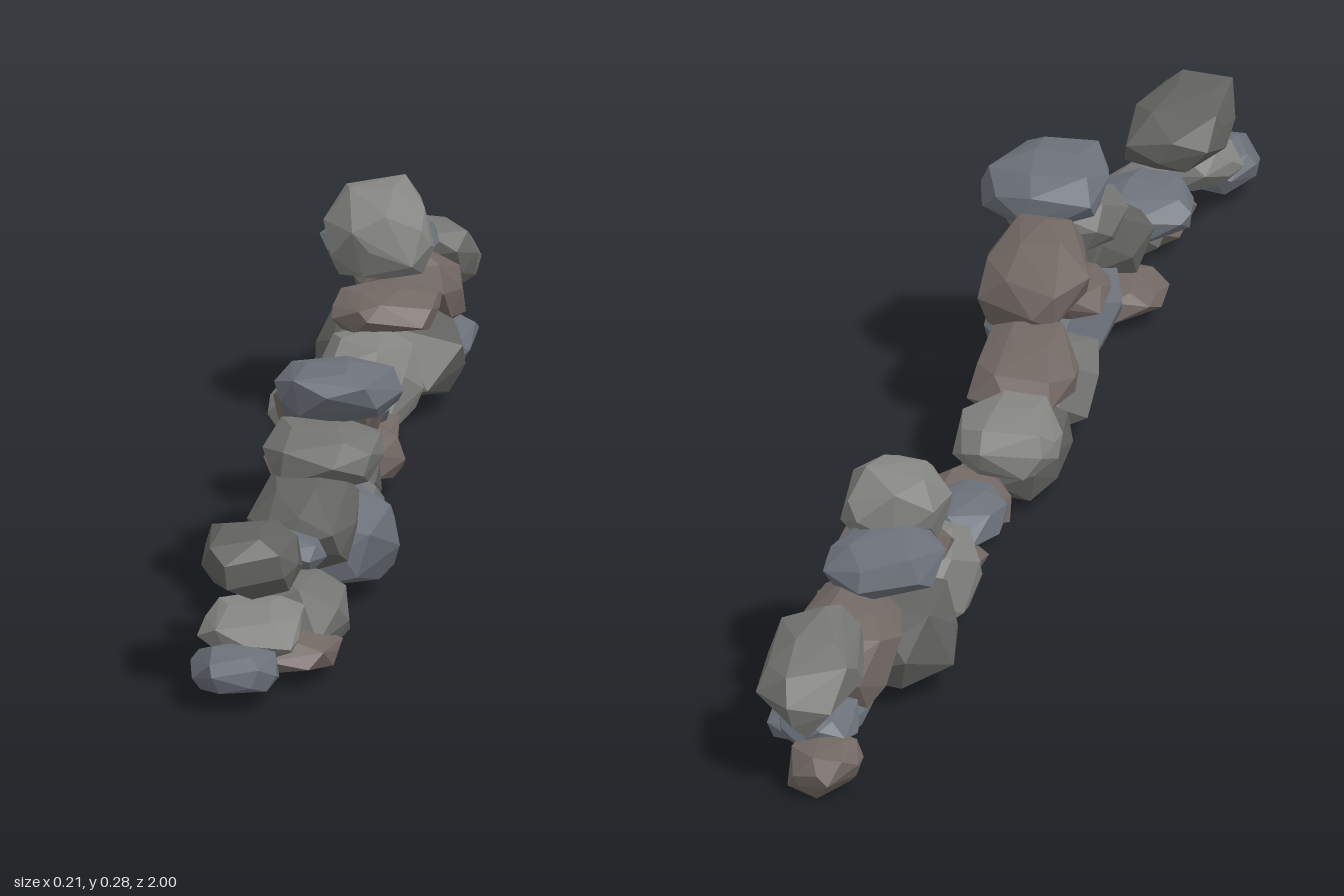
import * as THREE from 'three';
import { ConvexGeometry } from 'three/addons/geometries/ConvexGeometry.js';

function seeded(seed) {
  let s = (seed * 7919 + 13) % 2147483647;
  const next = () => (s = (s * 16807) % 2147483647) / 2147483647;
  for (let i = 0; i < 5; i++) next();
  return next;
}

// Faceted stone: hull of jittered points on a squarish ball, fitted to the given half sizes
function stoneGeometry(seed, hx, hy, hz, flatBase) {
  const rand = seeded(seed), points = [], count = 26;
  for (let i = 0; i < count; i++) {
    const y = 1 - (2 * (i + 0.5)) / count, r = Math.sqrt(1 - y * y);
    const a = i * 2.39996 + rand() * 0.7;
    const p = new THREE.Vector3(Math.cos(a) * r, y, Math.sin(a) * r);
    const q = Math.pow(p.x ** 4 + p.y ** 4 + p.z ** 4, 0.25);
    p.multiplyScalar((0.9 + rand() * 0.16) / Math.pow(q, 0.6));
    if (flatBase) p.y = Math.max(p.y, -0.6 + rand() * 0.02);
    points.push(p);
  }
  const geo = new ConvexGeometry(points);
  geo.computeBoundingBox();
  const c = geo.boundingBox.getCenter(new THREE.Vector3());
  const d = geo.boundingBox.getSize(new THREE.Vector3());
  geo.translate(-c.x, -c.y, -c.z);
  geo.scale((2 * hx) / d.x, (2 * hy) / d.y, (2 * hz) / d.z);
  return geo;
}

const COLORS = { light: 0x858583, grey: 0x747472, dark: 0x626260, blue: 0x6b7079, brown: 0x716763 };

// colour, centre x y z, half sizes x y z, tilt about x
const BASE = [
  ['blue', -0.02, 0.052, 0.935, 0.052, 0.024, 0.065, 0],
  ['brown', 0.03, 0.042, 0.79, 0.055, 0.02, 0.075, 0],
  ['grey', 0.035, 0.07, 0.7, 0.055, 0.04, 0.09, 0],
  ['brown', 0.0, 0.047, 0.53, 0.06, 0.021, 0.07, 0],
  ['blue', 0.03, 0.082, 0.355, 0.078, 0.053, 0.105, 0],
  ['grey', 0.0, 0.076, 0.19, 0.07, 0.047, 0.085, 0],
  ['dark', -0.015, 0.062, 0.01, 0.06, 0.044, 0.09, 0],
  ['brown', 0.0, 0.06, -0.165, 0.055, 0.032, 0.07, 0],
  ['brown', -0.015, 0.047, -0.32, 0.045, 0.018, 0.055, 0],
  ['light', -0.02, 0.08, -0.45, 0.062, 0.05, 0.09, 0],
  ['dark', -0.015, 0.08, -0.62, 0.09, 0.05, 0.1, 0],
  ['blue', 0.01, 0.046, -0.81, 0.05, 0.02, 0.08, 0],
];
const UPPER = [
  ['light', -0.01, 0.078, 0.855, 0.06, 0.03, 0.07, 0.15],
  ['dark', -0.015, 0.148, 0.8, 0.058, 0.04, 0.1, -0.05],
  ['blue', -0.01, 0.115, 0.63, 0.065, 0.03, 0.065, -0.2],
  ['dark', 0.01, 0.125, 0.49, 0.062, 0.044, 0.09, 0.25],
  ['grey', 0.025, 0.187, 0.405, 0.07, 0.035, 0.08, 0.1],
  ['blue', 0.035, 0.247, 0.35, 0.074, 0.036, 0.09, -0.05],
  ['brown', 0.0, 0.146, 0.28, 0.06, 0.021, 0.065, 0],
  ['brown', 0.005, 0.19, 0.195, 0.065, 0.046, 0.082, -0.5],
  ['brown', -0.015, 0.122, 0.07, 0.06, 0.035, 0.085, -0.3],
  ['light', -0.04, 0.12, -0.12, 0.063, 0.033, 0.08, -0.1],
  ['blue', -0.025, 0.082, -0.28, 0.048, 0.026, 0.062, -0.2],
  ['brown', -0.01, 0.146, -0.53, 0.062, 0.024, 0.072, 0.1],
  ['blue', -0.035, 0.187, -0.68, 0.068, 0.034, 0.08, -0.1],
  ['light', -0.025, 0.225, -0.595, 0.064, 0.052, 0.085, 0.2],
  ['brown', -0.01, 0.115, -0.765, 0.065, 0.046, 0.085, -0.35],
  ['grey', 0.0, 0.13, -0.885, 0.058, 0.042, 0.095, -0.4],
  ['blue', -0.01, 0.065, -0.89, 0.045, 0.025, 0.05, -0.1],
  ['brown', -0.03, 0.036, -0.945, 0.042, 0.027, 0.053, -0.2],
];

export function createModel() {
  const wall = new THREE.Group();
  wall.name = 'ruinedStoneWall';
  const materials = {};
  for (const key in COLORS) {
    materials[key] = new THREE.MeshStandardMaterial({ color: COLORS[key], flatShading: true });
  }
  let seed = 1;
  const addCourse = (name, stones, flatBase) => {
    const course = new THREE.Group();
    course.name = name;
    stones.forEach(([color, x, y, z, hx, hy, hz, tilt], i) => {
      const stone = new THREE.Mesh(stoneGeometry(seed++, hx, hy, hz, flatBase), materials[color]);
      stone.name = `${name}Stone${i + 1}`;
      stone.position.set(x, y, z);
      stone.rotation.x = tilt;
      course.add(stone);
    });
    wall.add(course);
  };
  addCourse('base', BASE, true);   // stones bedded flat on the ground
  addCourse('upper', UPPER, false); // loose stones piled on top
  return wall;
}
